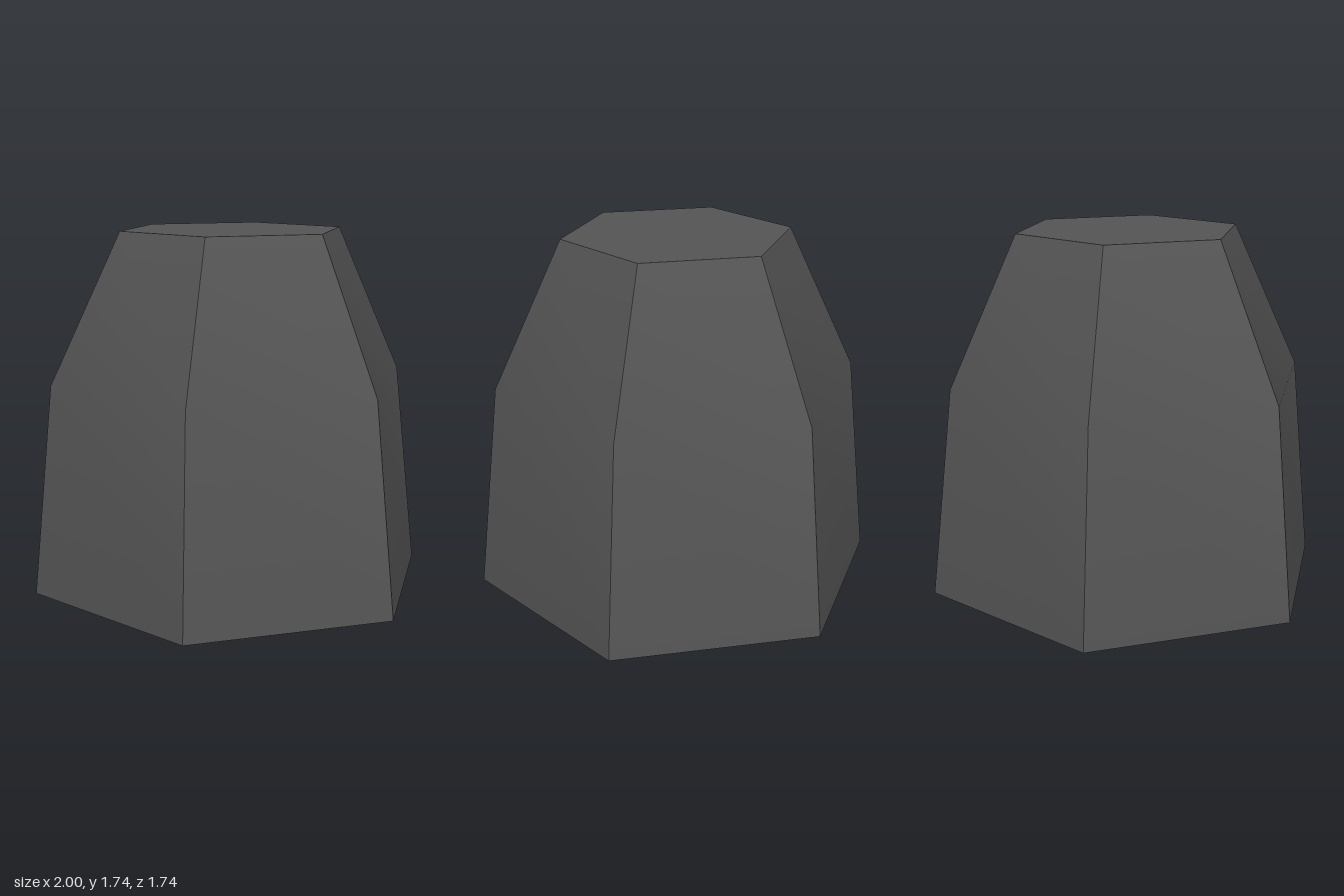
import * as THREE from 'three';
import { toCreasedNormals } from 'three/addons/utils/BufferGeometryUtils.js';

const SIDES = 6;
const TWIST = THREE.MathUtils.degToRad(0.6);

// Cross-sections from the base up: height, radius, sideways offset
const RINGS = [
  { y: 0, r: 1, x: 0 },
  { y: 1.02, r: 0.893, x: -0.008 },
  { y: 1.74, r: 0.555, x: 0 },
];

function corner(ring, i) {
  const a = TWIST + (i / SIDES) * Math.PI * 2;
  return [ring.x + ring.r * Math.cos(a), ring.y, ring.r * Math.sin(a)];
}

function makeGeometry(positions) {
  const geometry = new THREE.BufferGeometry();
  geometry.setAttribute('position', new THREE.Float32BufferAttribute(positions, 3));
  // Panels blend softly over the shoulder, corners stay sharp
  return toCreasedNormals(geometry, THREE.MathUtils.degToRad(30));
}

// Six bent side panels
function sideGeometry() {
  const p = [];
  for (let k = 0; k < RINGS.length - 1; k++) {
    for (let i = 0; i < SIDES; i++) {
      const a = corner(RINGS[k], i), b = corner(RINGS[k], i + 1);
      const c = corner(RINGS[k + 1], i + 1), d = corner(RINGS[k + 1], i);
      p.push(...a, ...d, ...c, ...a, ...c, ...b);
    }
  }
  return makeGeometry(p);
}

// Flat hexagonal cap facing up or down
function capGeometry(ring, up) {
  const p = [];
  for (let i = 0; i < SIDES; i++) {
    const a = corner(ring, i), b = corner(ring, i + 1);
    p.push(ring.x, ring.y, 0, ...(up ? b : a), ...(up ? a : b));
  }
  return makeGeometry(p);
}

export function createModel() {
  const group = new THREE.Group();
  group.name = 'hexagonalBlock';
  const darkGrey = new THREE.MeshStandardMaterial({ color: 0x555555 });
  darkGrey.name = 'dark grey';

  const add = (name, geometry) => {
    const mesh = new THREE.Mesh(geometry, darkGrey);
    mesh.name = name;
    group.add(mesh);
  };
  add('sidePanels', sideGeometry());
  add('topFace', capGeometry(RINGS[2], true));
  add('baseFace', capGeometry(RINGS[0], false));
  return group;
}
